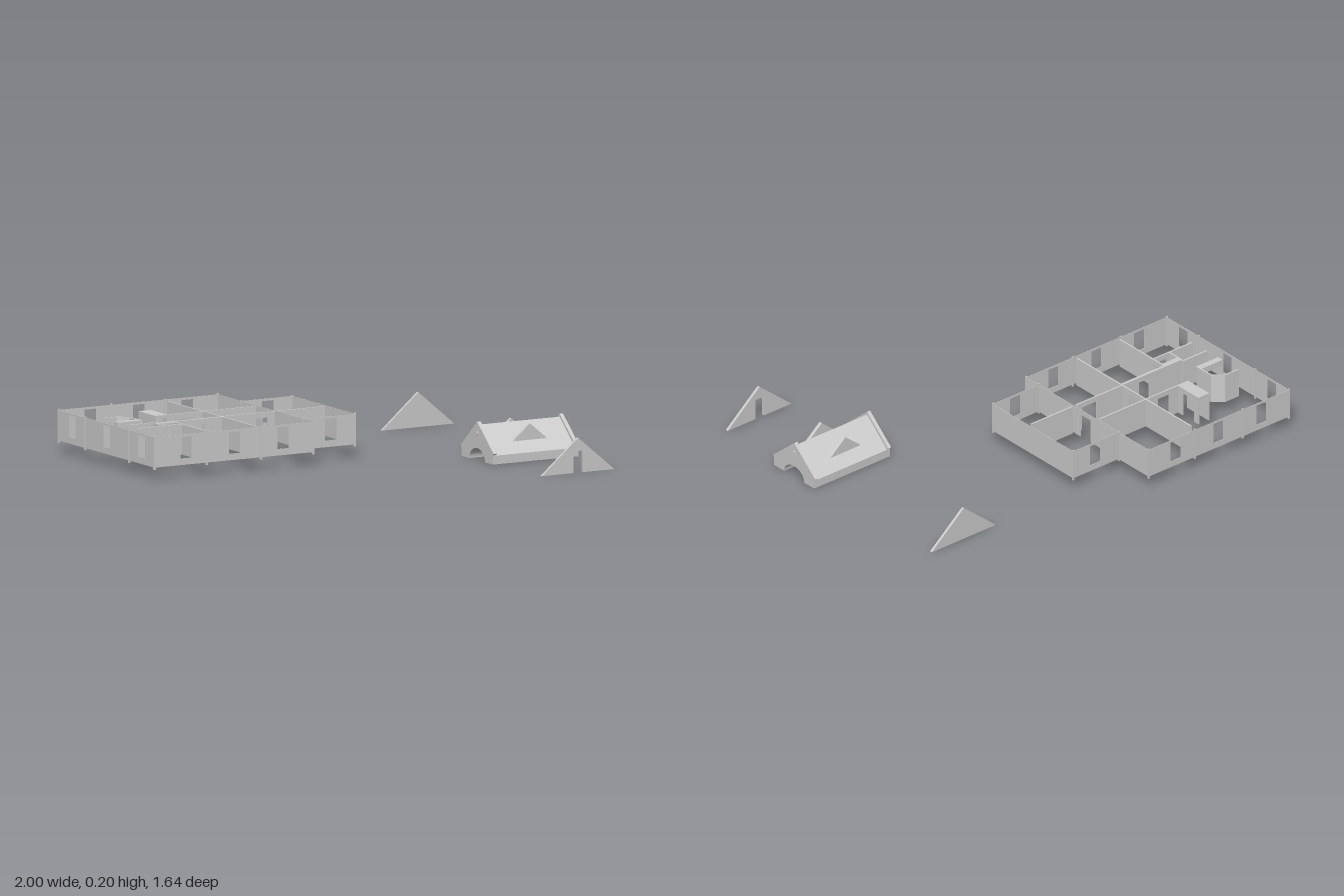
import * as THREE from 'three';

const FLOOR = 0.06, TOP = 0.2;

export function createModel() {
  const root = new THREE.Group();
  const grey = new THREE.MeshStandardMaterial({ color: 0xcccccc });
  grey.name = 'plain grey';

  function add(parent, geometry, name) {
    const mesh = new THREE.Mesh(geometry, grey);
    mesh.name = name;
    parent.add(mesh);
    return mesh;
  }
  function group(name) {
    const g = new THREE.Group();
    g.name = name;
    root.add(g);
    return g;
  }
  // box from its minimum and maximum corners
  function block(parent, name, x0, x1, y0, y1, z0, z1) {
    const g = new THREE.BoxGeometry(x1 - x0, y1 - y0, z1 - z0);
    g.translate((x0 + x1) / 2, (y0 + y1) / 2, (z0 + z1) / 2);
    return add(parent, g, name);
  }
  // straight wall along x or z, built around openings [start, end, sill, head]
  function wall(parent, name, axis, from, to, at, thick, openings = []) {
    const t = thick / 2;
    const panel = (a, b, y0, y1) => {
      if (b - a < 1e-4 || y1 - y0 < 1e-4) return;
      if (axis === 'x') block(parent, name, a, b, y0, y1, at - t, at + t);
      else block(parent, name, at - t, at + t, y0, y1, a, b);
    };
    let pos = from;
    for (const [a, b, sill, head] of openings) {
      panel(pos, a, FLOOR, TOP);
      panel(a, b, FLOOR, sill);
      panel(a, b, head, TOP);
      pos = b;
    }
    panel(pos, to, FLOOR, TOP);
  }
  const win = c => [c - 0.03, c + 0.03, 0.09, 0.19];
  const door = (c, w = 0.07) => [c - w / 2, c + w / 2, FLOOR, 0.175];

  // outer shell of the floor plan
  const shell = group('outerWalls');
  const T = 0.002;
  const bays = [-0.83, -0.575, -0.32].map(win);
  wall(shell, 'frontWall', 'x', -0.995, -0.16, 0.035, T, bays);
  wall(shell, 'frontStep', 'z', -0.05, 0.035, -0.16, T);
  wall(shell, 'frontWingWall', 'x', -0.16, 0.11, -0.05, T, [win(-0.02)]);
  wall(shell, 'leftWall', 'z', -0.61, -0.05, 0.11, T);
  wall(shell, 'backWingWall', 'x', -0.16, 0.11, -0.61, T, [win(-0.02)]);
  wall(shell, 'backStep', 'z', -0.82, -0.61, -0.16, T);
  wall(shell, 'backWall', 'x', -0.995, -0.16, -0.82, T, bays);
  wall(shell, 'rightWall', 'z', -0.82, 0.035, -0.995, T, [win(-0.7), win(-0.39), win(-0.08)]);

  // slim posts standing slightly above and below the walls
  const posts = [[-0.995, 0.035], [-0.72, 0.035], [-0.435, 0.035], [-0.16, 0.035],
    [-0.16, -0.05], [0.108, -0.05], [0.108, -0.61], [-0.16, -0.61], [-0.16, -0.82],
    [-0.435, -0.82], [-0.72, -0.82], [-0.995, -0.82], [-0.995, -0.585], [-0.995, -0.19]];
  for (const [x, z] of posts) {
    block(shell, 'post', x - 0.005, x + 0.005, 0.05, 0.205, z - 0.003, z + 0.003);
  }

  // room partitions
  const rooms = group('innerWalls');
  const P = 0.008;
  wall(rooms, 'mainPartition', 'z', -0.78, 0.02, -0.447, P, [door(-0.38)]);
  wall(rooms, 'backPartition', 'x', -0.64, -0.17, -0.463, P, [door(-0.55)]);
  wall(rooms, 'middlePartition', 'x', -0.447, -0.17, -0.298, P, [door(-0.25, 0.09)]);
  wall(rooms, 'wingPartition', 'x', -0.15, 0.095, -0.298, P);
  wall(rooms, 'wingDivider', 'z', -0.61, -0.05, -0.16, T, [door(-0.38)]);
  wall(rooms, 'hallPartition', 'x', -0.8, -0.447, -0.292, 0.014, [door(-0.58)]);
  wall(rooms, 'frontPartition', 'z', -0.29, 0.02, -0.705, P, [door(-0.245, 0.06)]);
  wall(rooms, 'alcoveFront', 'x', -0.94, -0.705, -0.21, P, [door(-0.755, 0.06)]);
  wall(rooms, 'alcoveBack', 'x', -0.94, -0.8, -0.31, P);
  wall(rooms, 'alcoveSide', 'z', -0.31, -0.21, -0.8, P);
  wall(rooms, 'closetBack', 'x', -0.94, -0.86, -0.53, P);
  wall(rooms, 'closetSide', 'z', -0.49, -0.39, -0.813, P);
  block(rooms, 'closetLintel', -0.94, -0.813, 0.17, TOP, -0.42, -0.388);
  block(rooms, 'hallLintel', -0.8, -0.705, 0.17, TOP, -0.298, -0.27);

  // slanted closet corner
  const slant = add(rooms, new THREE.BoxGeometry(0.064, TOP - FLOOR, 0.006), 'closetCorner');
  slant.position.set(-0.837, (TOP + FLOOR) / 2, -0.51);
  slant.rotation.y = -Math.atan2(0.04, 0.05);

  // covered passage box
  block(rooms, 'passageCeiling', -0.7, -0.635, 0.185, TOP, -0.61, -0.46);
  wall(rooms, 'passageSide', 'z', -0.61, -0.46, -0.697, 0.006);
  wall(rooms, 'passageDoorSide', 'z', -0.61, -0.46, -0.638, 0.006, [door(-0.54, 0.08)]);

  // gabled block with a vaulted tunnel along x
  const hall = group('gabledHall');
  function profile(points) {
    const s = new THREE.Shape();
    s.moveTo(-0.07, 0);
    for (const [u, v] of points) s.lineTo(u, v);
    s.lineTo(0.07, 0);
    s.absellipse(0, 0, 0.07, 0.056, 0, Math.PI, false);
    return s;
  }
  function alongX(shape, x0, x1, name) {
    const g = new THREE.ExtrudeGeometry(shape, { depth: x1 - x0, bevelEnabled: false, curveSegments: 20 });
    g.rotateY(Math.PI / 2);
    g.translate(x0, 0, 0.297);
    add(hall, g, name);
  }
  const body = [[-0.14, 0], [-0.14, 0.04], [0, 0.163], [0.14, 0.04], [0.14, 0]];
  const rim = [[-0.14, 0], [-0.14, 0.043], [-0.148, 0.05], [0, 0.177], [0.148, 0.05], [0.14, 0.043], [0.14, 0]];
  alongX(profile(body), 0.565, 0.98, 'roofBody');
  for (const x of [0.547, 0.98]) {
    const s = profile(rim);
    const hole = new THREE.Path();
    hole.absarc(0, 0.118, 0.018, 0, Math.PI * 2, true);
    s.holes.push(hole);
    alongX(s, x, x + 0.018, 'endGable');
    // bars across the round window
    for (let i = 0; i < 3; i++) {
      const bar = add(hall, new THREE.BoxGeometry(0.006, 0.036, 0.003), 'windowBar');
      bar.position.set(x + 0.009, 0.118, 0.297);
      bar.rotation.x = i * Math.PI / 3;
    }
  }

  // upright triangular plates facing z
  function triangle(parent, name, half, y0, y1, z, thick, doorHalf, doorTop) {
    const s = new THREE.Shape();
    s.moveTo(-half, y0);
    if (doorHalf) {
      s.lineTo(-doorHalf, y0);
      s.lineTo(-doorHalf, doorTop);
      s.lineTo(doorHalf, doorTop);
      s.lineTo(doorHalf, y0);
    }
    s.lineTo(half, y0);
    s.lineTo(0, y1);
    const g = new THREE.ExtrudeGeometry(s, { depth: thick, bevelEnabled: false });
    g.translate(0.772, 0, z - thick / 2);
    add(parent, g, name);
  }
  for (const z of [0.212, 0.378]) triangle(hall, 'dormer', 0.09, 0.088, 0.163, z, 0.016);

  // loose gable panels
  const gables = group('gablePanels');
  triangle(gables, 'frontGable', 0.19, 0, 0.16, 0.812, 0.013, 0.025, 0.1);
  triangle(gables, 'backGable', 0.19, 0, 0.16, -0.618, 0.013);

  return root;
}
